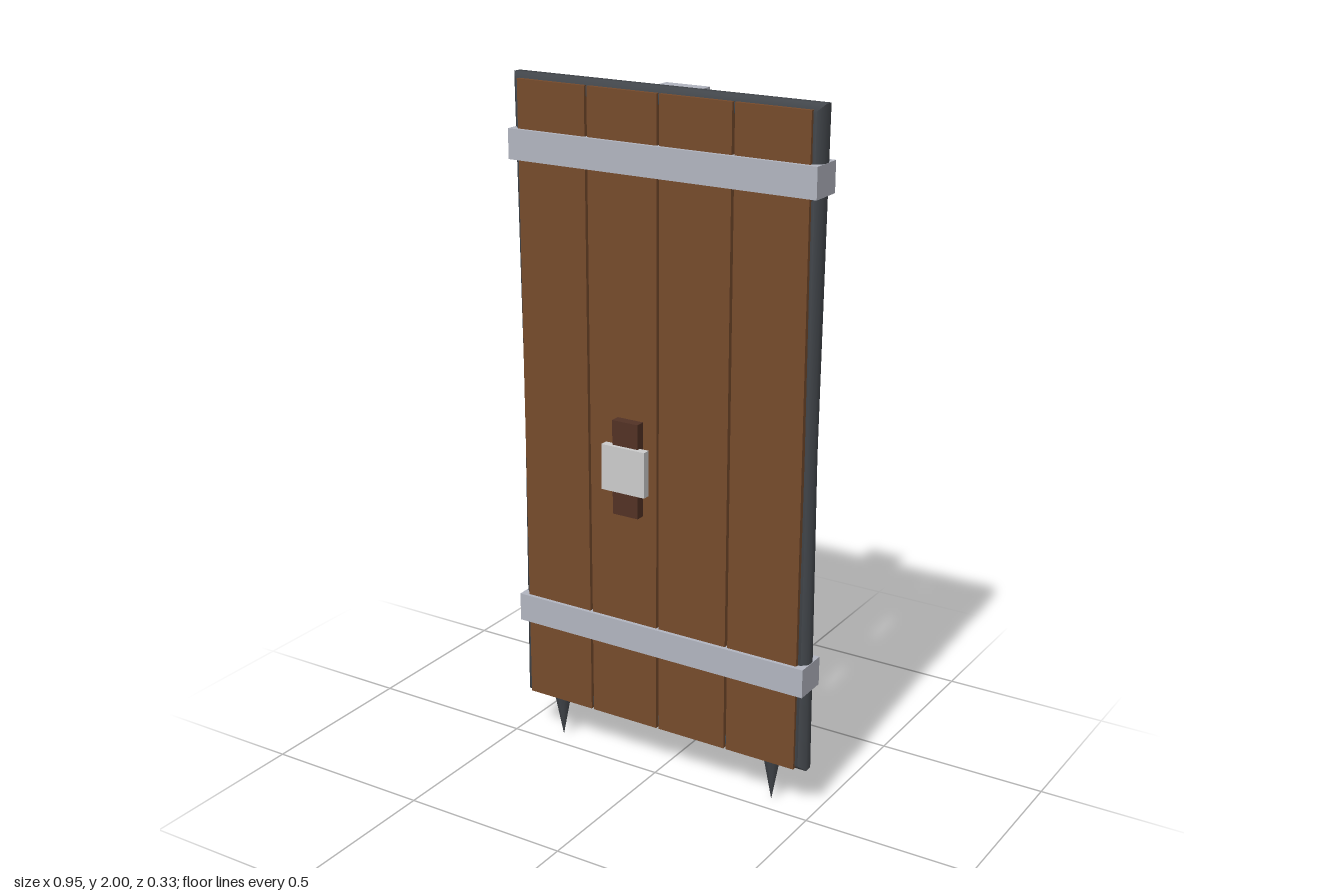
import * as THREE from 'three';
import { toCreasedNormals } from 'three/addons/utils/BufferGeometryUtils.js';

const DEPTH = -0.052; // z of the middle of the door leaf

const material = (color, flatShading = false) => new THREE.MeshStandardMaterial({ color, flatShading });

// Closed rectangular frame with an octagonal section, slimmer halfway up each side
function frameGeometry(halfW, bottom, top) {
  const midY = (bottom + top) / 2;
  const rings = [ // x, y, outward x, outward y, section scale
    [halfW, bottom, 1, -1, 1], [halfW, midY, 1, 0, 0.78], [halfW, top, 1, 1, 1],
    [-halfW, top, -1, 1, 1], [-halfW, midY, -1, 0, 0.78], [-halfW, bottom, -1, -1, 1],
  ];
  const sides = 8, radius = 0.033, pos = [], index = [];
  for (const [x, y, ox, oy, s] of rings) {
    for (let k = 0; k < sides; k++) {
      const a = ((k + 0.5) / sides) * Math.PI * 2;
      const out = Math.cos(a) * radius * s;
      pos.push(x + ox * out, y + oy * out, DEPTH + Math.sin(a) * radius * s);
    }
  }
  for (let r = 0; r < rings.length; r++) {
    const next = (r + 1) % rings.length;
    for (let k = 0; k < sides; k++) {
      const k2 = (k + 1) % sides;
      const a = r * sides + k, b = next * sides + k, c = next * sides + k2, d = r * sides + k2;
      index.push(a, b, c, a, c, d);
    }
  }
  const geo = new THREE.BufferGeometry();
  geo.setAttribute('position', new THREE.Float32BufferAttribute(pos, 3));
  geo.setIndex(index);
  return toCreasedNormals(geo, 0.9);
}

export function createModel() {
  const model = new THREE.Group();
  model.name = 'shield';
  const wood = material(0x764b2c);
  const darkWood = material(0x523225);
  const iron = material(0x42464b);
  const steel = material(0xb2b5c0);
  const plate = material(0xcccccc);
  const brass = material(0xb98d4a, true);

  const add = (name, geo, mat, x, y, z) => {
    const mesh = new THREE.Mesh(geo, mat);
    mesh.name = name;
    mesh.position.set(x, y, z);
    model.add(mesh);
    return mesh;
  };
  const box = (name, mat, w, h, d, x, y, z) => add(name, new THREE.BoxGeometry(w, h, d), mat, x, y, z);

  // Four upright planks with narrow gaps
  for (let i = 0; i < 4; i++) {
    box('plank', wood, 0.218, 1.845, 0.078, (i - 1.5) * 0.226, 1.0625, DEPTH);
  }

  // Iron edging around the planks
  add('frame', frameGeometry(0.4445, 0.161, 1.969), iron, 0, 0, 0);

  // Two bands wrapping the planks, with rivets on the back
  const rivet = new THREE.SphereGeometry(0.0145, 6, 6).rotateY(Math.PI / 2);
  for (const y of [0.418, 1.807]) {
    box('band', steel, 0.948, 0.085, 0.1, 0, y, DEPTH);
    for (const x of [-0.34, -0.113, 0.113, 0.34]) add('rivet', rivet, brass, x, y, -0.109);
  }

  // Heavy spine down the back
  box('spine', steel, 0.136, 1.85, 0.074, 0, 1.0625, -0.127);

  // Grip and its plate, held clear of the front
  box('grip', darkWood, 0.08, 0.27, 0.028, 0, 1.0, 0.138);
  box('gripPlate', plate, 0.136, 0.13, 0.023, 0, 1.0, 0.152);

  // Ground spikes pointing down
  const spike = new THREE.ConeGeometry(0.028, 0.15, 8).rotateX(Math.PI);
  for (const x of [-0.36, 0.36]) add('spike', spike, iron, x, 0.075, DEPTH);

  return model;
}
